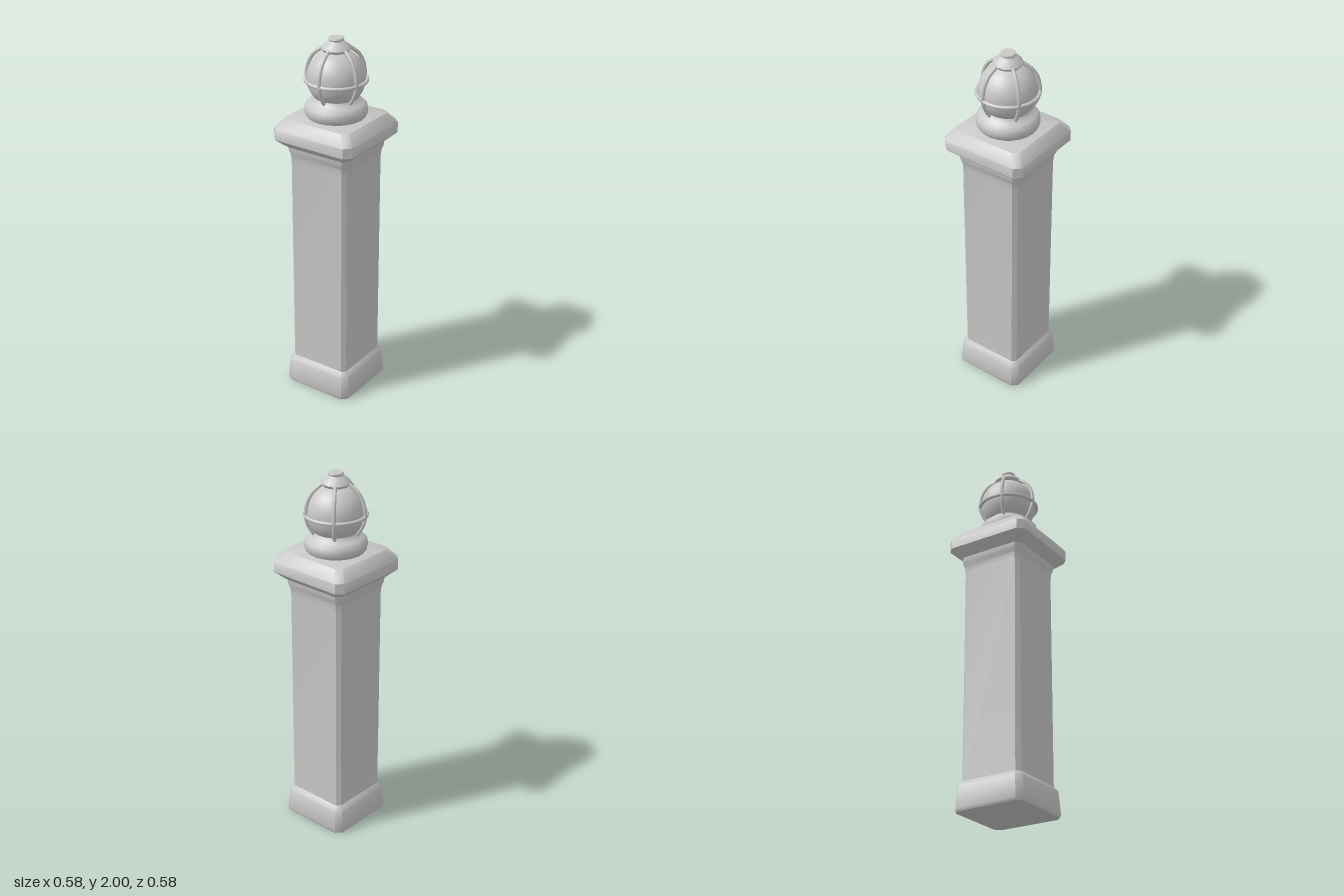
import * as THREE from 'three';
import { toCreasedNormals } from 'three/addons/utils/BufferGeometryUtils.js';

const stone = new THREE.MeshStandardMaterial({ color: 0xc8c8c8 });
stone.name = 'stoneGrey';

// Eight points of a square with clipped corners, anticlockwise from above
function clippedSquare(y, half, clip) {
  const points = [];
  for (let k = 0; k < 4; k++) {
    const c = Math.round(Math.cos(k * Math.PI / 2));
    const s = Math.round(Math.sin(k * Math.PI / 2));
    for (const t of [clip - half, half - clip]) {
      points.push([half * c - t * s, y, -(half * s + t * c)]);
    }
  }
  return points;
}

// Closed loft through [y, half width, corner clip] sections, bottom to top
function loft(profile) {
  const rings = profile.map((p) => clippedSquare(...p));
  const pos = [];
  const tri = (...corners) => corners.forEach((c) => pos.push(...c));
  const top = rings.length - 1;
  for (let i = 0; i < 8; i++) {
    const j = (i + 1) % 8;
    for (let r = 0; r < top; r++) {
      const [a, b] = [rings[r], rings[r + 1]];
      tri(a[i], a[j], b[j]);
      tri(a[i], b[j], b[i]);
    }
    tri([0, profile[0][0], 0], rings[0][j], rings[0][i]);
    tri([0, profile[top][0], 0], rings[top][i], rings[top][j]);
  }
  const geometry = new THREE.BufferGeometry();
  geometry.setAttribute('position', new THREE.Float32BufferAttribute(pos, 3));
  return toCreasedNormals(geometry, 0.74);
}

function lathe(points, segments, crease = 0.8) {
  const geometry = new THREE.LatheGeometry(points.map((p) => new THREE.Vector2(...p)), segments);
  return toCreasedNormals(geometry, crease);
}

function add(parent, name, geometry) {
  const mesh = new THREE.Mesh(geometry, stone);
  mesh.name = name;
  parent.add(mesh);
  return mesh;
}

export function createModel() {
  const model = new THREE.Group();
  model.name = 'gatePost';

  // Square post, turned a little about its axis
  const post = new THREE.Group();
  post.name = 'post';
  post.rotation.y = 0.277;
  model.add(post);
  add(post, 'plinth', loft([
    [0, 0.2, 0.03], [0.012, 0.204, 0.03], [0.135, 0.195, 0.028], [0.165, 0.172, 0.02],
  ]));
  add(post, 'shaft', loft([
    [0.15, 0.175, 0.02], [1.34, 0.175, 0.02], [1.38, 0.179, 0.022],
    [1.405, 0.188, 0.025], [1.44, 0.192, 0.026],
  ]));
  add(post, 'capital', loft([
    [1.43, 0.194, 0.028], [1.475, 0.243, 0.034], [1.53, 0.243, 0.034], [1.585, 0.198, 0.03],
  ]));

  // Round foot, globe and finial
  add(model, 'globeFoot', lathe([
    [0, 1.58], [0.148, 1.58], [0.16, 1.597], [0.165, 1.62], [0.16, 1.645],
    [0.143, 1.662], [0.122, 1.672], [0.112, 1.69], [0, 1.69],
  ], 24));
  const globe = add(model, 'globe', new THREE.SphereGeometry(0.152, 28, 18));
  globe.position.y = 1.79;
  add(model, 'finial', lathe([
    [0, 1.925], [0.066, 1.93], [0.078, 1.945], [0.07, 1.96], [0.045, 1.977],
    [0.037, 1.985], [0.041, 1.993], [0.038, 2], [0, 2],
  ], 14));

  // Cage: one level hoop and five upright ribs
  const hoop = add(model, 'cageHoop', new THREE.TorusGeometry(0.158, 0.01, 8, 24));
  hoop.rotation.x = Math.PI / 2;
  hoop.position.y = 1.78;
  const path = new THREE.CatmullRomCurve3([
    [0.11, 1.675], [0.134, 1.71], [0.152, 1.75], [0.158, 1.79],
    [0.149, 1.85], [0.12, 1.905], [0.07, 1.945],
  ].map(([x, y]) => new THREE.Vector3(x, y, 0)));
  const ribGeometry = new THREE.TubeGeometry(path, 16, 0.01, 8);
  for (let i = 0; i < 5; i++) {
    add(model, 'cageRib', ribGeometry).rotation.y = i * Math.PI * 2 / 5;
  }
  // Rounded lower ends of the ribs
  const endGeometry = new THREE.SphereGeometry(0.01, 8, 6);
  for (let i = 0; i < 5; i++) {
    const a = i * Math.PI * 2 / 5;
    add(model, 'ribEnd', endGeometry).position.set(0.11 * Math.cos(a), 1.675, -0.11 * Math.sin(a));
  }
  return model;
}
